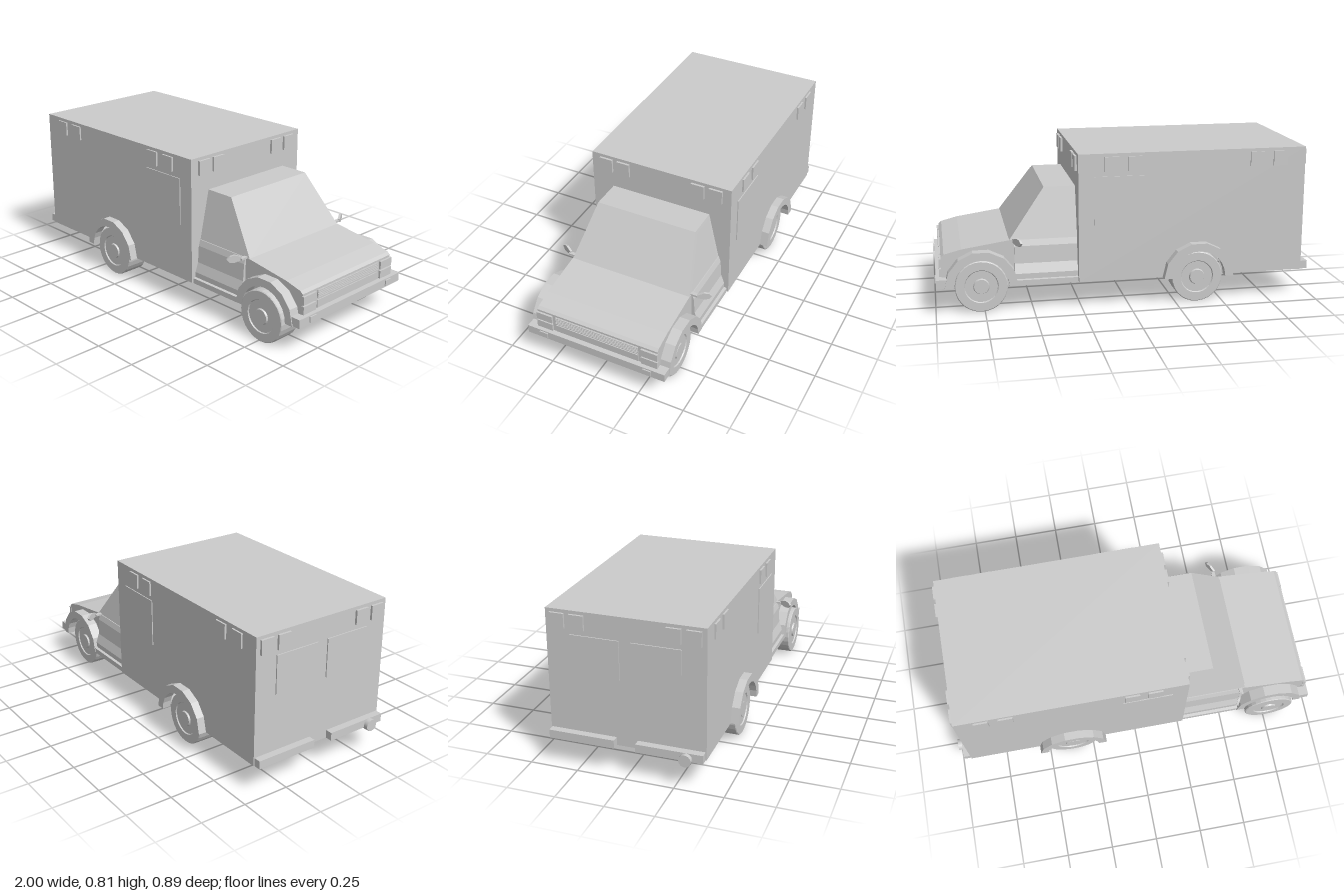
import * as THREE from 'three';

const mat = new THREE.MeshStandardMaterial({ color: 0xcccccc, side: THREE.DoubleSide, flatShading: true });
const smooth = new THREE.MeshStandardMaterial({ color: 0xcccccc, side: THREE.DoubleSide });

function add(parent, name, geometry, material = mat) {
  const mesh = new THREE.Mesh(geometry, material);
  mesh.name = name;
  parent.add(mesh);
  return mesh;
}

// Box given by its limits on each axis
function block(parent, name, x0, x1, y0, y1, z0, z1) {
  const mesh = add(parent, name, new THREE.BoxGeometry(x1 - x0, y1 - y0, z1 - z0));
  mesh.position.set((x0 + x1) / 2, (y0 + y1) / 2, (z0 + z1) / 2);
  return mesh;
}

// Side outline (x, y) extruded from z0 to z1
function slab(parent, name, points, z0, z1) {
  const shape = new THREE.Shape(points.map(([x, y]) => new THREE.Vector2(x, y)));
  const geo = new THREE.ExtrudeGeometry(shape, { depth: z1 - z0, bevelEnabled: false });
  geo.translate(0, 0, z0);
  return add(parent, name, geo);
}

// Flat four-cornered panel, corners counter-clockwise from outside
function quad(parent, name, corners) {
  const geo = new THREE.BufferGeometry();
  geo.setAttribute('position', new THREE.Float32BufferAttribute(corners.flat(), 3));
  geo.setIndex([0, 1, 2, 0, 2, 3]);
  geo.computeVertexNormals();
  return add(parent, name, geo);
}

// Horizontal panel with an (x, z) outline
function floorPanel(parent, name, points, y) {
  const geo = new THREE.ShapeGeometry(new THREE.Shape(points.map(([x, z]) => new THREE.Vector2(x, z))));
  geo.rotateX(Math.PI / 2);
  geo.translate(0, y, 0);
  return add(parent, name, geo);
}

// Points of a half circle from right to left
function arc(cx, cy, r, n) {
  return Array.from({ length: n + 1 }, (_, i) => {
    const a = (Math.PI * i) / n;
    return [cx + r * Math.cos(a), cy + r * Math.sin(a)];
  });
}

function archFlare(parent, name, cx, side, z0, z1) {
  const outline = [
    ...arc(cx, 0.145, 0.187, 7),
    ...arc(cx, 0.145, 0.142, 12).reverse(),
  ];
  slab(parent, name, outline, side > 0 ? z0 : -z1, side > 0 ? z1 : -z0);
}

function wheel(parent, name, x, z, side) {
  const g = new THREE.Group();
  g.name = name;
  const w = 0.0625;
  // Lathe profile: tyre with a shallow rim recess and raised hub on the outside
  const pts = [[0, -w], [0.13, -w], [0.136, -w + 0.006], [0.136, w - 0.004], [0.132, w], [0.088, w],
    [0.084, w - 0.006], [0.042, w - 0.006], [0.038, w + 0.003], [0, w + 0.003]];
  const geo = new THREE.LatheGeometry(pts.map(p => new THREE.Vector2(...p)), 28);
  geo.rotateX((side * Math.PI) / 2);
  add(g, 'tyreAndRim', geo);
  g.position.set(x, 0.136, z);
  parent.add(g);
}

function rearBody(root) {
  const g = new THREE.Group();
  g.name = 'rearBody';
  const [x0, x1, y0, y1, hz] = [-0.94, 0.265, 0.145, 0.815, 0.4];
  // Side walls with wheel cut-outs
  const wall = [[x0, y0], [x0, y1], [x1, y1], [x1, y0], ...arc(-0.365, y0, 0.15, 12)];
  for (const s of [1, -1]) slab(g, 'sideWall', wall, s > 0 ? hz - 0.006 : -hz, s > 0 ? hz : -hz + 0.006);
  block(g, 'roof', x0, x1, y1 - 0.006, y1, -hz, hz);
  block(g, 'frontWall', x1 - 0.006, x1, y0, y1, -hz, hz);
  block(g, 'rearWall', x0, x0 + 0.006, y0, y1, -hz, hz);
  // Floor, open between the rear wheels
  floorPanel(g, 'frontFloor', [[x1, -hz], [x1, hz], [-0.2, hz], [0.07, 0.03], [-0.2, -hz]], y0);
  floorPanel(g, 'rearFloor', [[x0, -hz], [x0, hz], [-0.53, hz], [-0.57, 0], [-0.53, -hz]], y0);

  for (const s of [1, -1]) {
    const zIn = s * hz, zOut = s * (hz + 0.009);
    const [za, zb] = [Math.min(zIn, zOut), Math.max(zIn, zOut)];
    // Marker lamps and window on the sides
    for (const x of [-0.84, -0.715, -0.065, 0.055]) block(g, 'sideLamp', x, x + 0.075, 0.722, 0.798, za, zb);
    block(g, 'sideWindow', -0.075, 0.183, 0.445, 0.697, s > 0 ? hz : -hz - 0.005, s > 0 ? hz + 0.005 : -hz);
    // Marker lamps front and rear
    for (const z of [0.215, 0.315]) {
      block(g, 'frontLamp', x1, x1 + 0.012, 0.722, 0.798, s * z - 0.037, s * z + 0.037);
      block(g, 'rearLamp', x0 - 0.012, x0, 0.722, 0.798, s * (z + 0.025) - 0.037, s * (z + 0.025) + 0.037);
    }
    block(g, 'rearDoorWindow', x0 - 0.006, x0, 0.49, 0.695, s * 0.155 - 0.125, s * 0.155 + 0.125);
    block(g, 'rearBumper', -0.978, x0, 0.145, 0.188, s * 0.225 - 0.17, s * 0.225 + 0.17);
    archFlare(g, 'rearArch', -0.365, s, 0.395, 0.443);
  }
  // Exhaust pipe at the rear corner
  const pipe = add(g, 'exhaust', new THREE.CylinderGeometry(0.032, 0.032, 0.06, 12), smooth);
  pipe.rotation.z = Math.PI / 2;
  pipe.position.set(-0.97, 0.156, 0.31);
  g.position.z = -0.006;
  root.add(g);
}

function cab(root) {
  const g = new THREE.Group();
  g.name = 'cab';
  // Hood and nose
  slab(g, 'noseBody', [[0.265, 0.142], [0.965, 0.142], [0.965, 0.3], [0.95, 0.313], [0.86, 0.336], [0.615, 0.372], [0.265, 0.372]], -0.34, 0.34);

  // Tapered cabin
  const bot = [[0.265, 0.338], [0.617, 0.338], [0.617, -0.338], [0.265, -0.338]].map(([x, z]) => [x, 0.37, z]);
  const top = [[0.265, 0.28], [0.428, 0.28], [0.428, -0.28], [0.265, -0.28]].map(([x, z]) => [x, 0.63, z]);
  quad(g, 'cabRoof', top);
  for (const [i, name] of ['cabSide', 'windshieldFrame', 'cabSide', 'cabBack'].entries()) {
    const j = (i + 1) % 4;
    quad(g, name, [bot[i], bot[j], top[j], top[i]]);
  }
  quad(g, 'windshield', [[0.618, 0.378, 0.322], [0.618, 0.378, -0.322], [0.439, 0.622, -0.27], [0.439, 0.622, 0.27]]);

  for (const s of [1, -1]) {
    const win = [[0.288, 0.382, 0.339], [0.592, 0.382, 0.339], [0.42, 0.618, 0.2865], [0.285, 0.618, 0.2865]]
      .map(([x, y, z]) => [x, y, s * z]);
    quad(g, 'doorWindow', s > 0 ? win : win.reverse());

    // Door swelling outward to the sill
    const door = [[0.33, 0.372], [0.342, 0.372], [0.352, 0.34], [0.358, 0.25], [0.376, 0.2], [0.376, 0.172],
      [0.392, 0.17], [0.392, 0.142], [0.33, 0.142]];
    const shape = new THREE.Shape(door.map(([z, y]) => new THREE.Vector2(-s * z, y)));
    const geo = new THREE.ExtrudeGeometry(shape, { depth: 0.325, bevelEnabled: false });
    geo.rotateY(Math.PI / 2);
    geo.translate(0.267, 0, 0);
    add(g, 'door', geo);

    archFlare(g, 'frontArch', 0.765, s, 0.335, 0.395);

    // Headlamps and indicators
    for (const [y0, y1] of [[0.196, 0.238], [0.246, 0.289]])
      block(g, 'headlamp', 0.96, 0.976, y0, y1, s * 0.297 - 0.045, s * 0.297 + 0.045);
    block(g, 'bumperLamp', 0.99, 1.0, 0.156, 0.186, s * 0.295 - 0.023, s * 0.295 + 0.023);

    // Mirror: slanted six-sided plate on a short arm
    const mirror = new THREE.Group();
    mirror.name = 'mirror';
    const plate = [[0.0, 0.008], [0.035, 0.02], [0.06, 0.015], [0.075, 0], [0.06, -0.018], [0.035, -0.02], [0, -0.01]];
    const pg = new THREE.ExtrudeGeometry(new THREE.Shape(plate.map(p => new THREE.Vector2(...p))),
      { depth: 0.012, bevelEnabled: false });
    add(mirror, 'mirrorPlate', pg).rotation.y = s > 0 ? -Math.PI / 2 - 0.5 : Math.PI / 2 + 0.5;
    mirror.position.set(0.592, 0.377, s * 0.37);
    g.add(mirror);
    block(g, 'mirrorArm', 0.58, 0.6, 0.368, 0.378, s * 0.355 - 0.02, s * 0.355 + 0.02);
  }

  // Grille with slats, lower intake and bumper
  block(g, 'grille', 0.96, 0.969, 0.246, 0.289, -0.234, 0.234);
  for (let i = 0; i < 5; i++) block(g, 'grilleSlat', 0.966, 0.973, 0.248 + i * 0.009, 0.252 + i * 0.009, -0.234, 0.234);
  block(g, 'lowerGrille', 0.96, 0.97, 0.197, 0.237, -0.234, 0.234);
  block(g, 'frontBumper', 0.955, 0.994, 0.147, 0.193, -0.39, 0.39);
  for (const s of [1, -1]) block(g, 'bumperEnd', 0.92, 0.96, 0.147, 0.193, s * 0.365 - 0.025, s * 0.365 + 0.025);
  g.position.z = -0.006;
  root.add(g);
}

export function createModel() {
  const root = new THREE.Group();
  root.name = 'boxVan';
  rearBody(root);
  cab(root);
  wheel(root, 'rearLeftWheel', -0.365, 0.3425, 1);
  wheel(root, 'rearRightWheel', -0.365, -0.3425, -1);
  wheel(root, 'frontLeftWheel', 0.765, 0.3425, 1);
  wheel(root, 'frontRightWheel', 0.765, -0.3, -1);
  return root;
}
